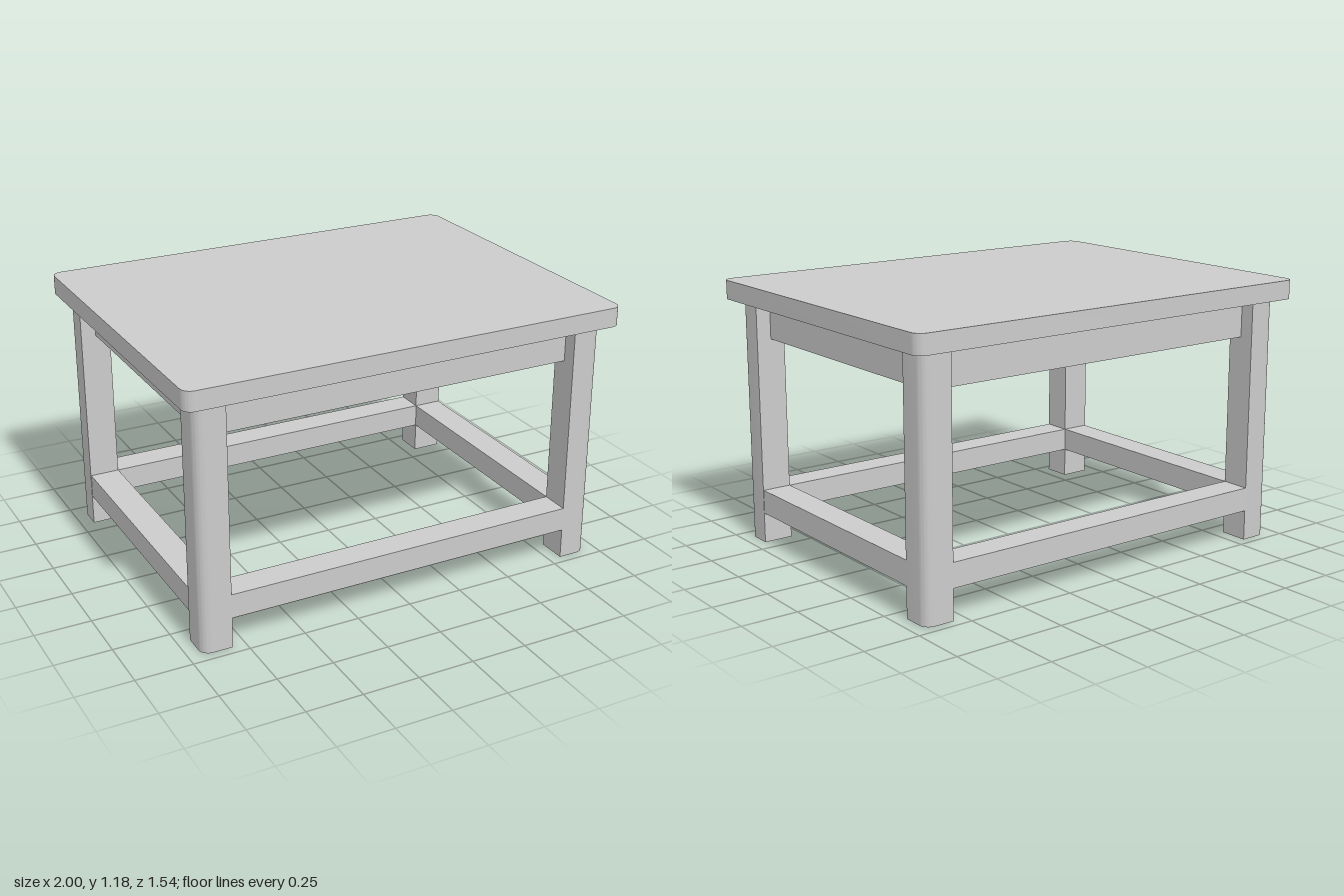
import * as THREE from 'three';
import { toCreasedNormals } from 'three/addons/utils/BufferGeometryUtils.js';

const material = new THREE.MeshStandardMaterial({ color: 0xcccccc });

const TOP = { x: 1, z: 0.768, y0: 1.1, y1: 1.185 };
const LEG = { x0: 0.808, x1: 0.942, z0: 0.577, z1: 0.709 };
const RADIUS = 0.045;

// Rectangle in plan with chosen corners rounded: [++, -+, --, +-]
function roundedPlan(x0, x1, y0, y1, radii) {
  const [a, b, c, d] = radii;
  const shape = new THREE.Shape();
  const corner = (cx, cy, r, start) => {
    if (r > 0) shape.absarc(cx, cy, r, start, start + Math.PI / 2, false);
    else shape.lineTo(cx, cy);
  };
  shape.moveTo(x1, y1 - a);
  corner(x1 - a, y1 - a, a, 0);
  corner(x0 + b, y1 - b, b, Math.PI / 2);
  corner(x0 + c, y0 + c, c, Math.PI);
  corner(x1 - d, y0 + d, d, Math.PI * 1.5);
  shape.closePath();
  return shape;
}

// Stands a plan outline upright between two heights
function upright(name, shape, y0, y1) {
  let geometry = new THREE.ExtrudeGeometry(shape, { depth: y1 - y0, bevelEnabled: false, curveSegments: 8 });
  geometry.rotateX(-Math.PI / 2).translate(0, y0, 0);
  geometry = toCreasedNormals(geometry, 0.5);
  const mesh = new THREE.Mesh(geometry, material);
  mesh.name = name;
  return mesh;
}

function box(name, x0, x1, y0, y1, z0, z1) {
  const mesh = new THREE.Mesh(new THREE.BoxGeometry(x1 - x0, y1 - y0, z1 - z0), material);
  mesh.position.set((x0 + x1) / 2, (y0 + y1) / 2, (z0 + z1) / 2);
  mesh.name = name;
  return mesh;
}

// Four rails between the legs, starting at the inner leg faces
function railFrame(name, y0, y1, thickness) {
  const frame = new THREE.Group();
  frame.name = name;
  const { x0, z0 } = LEG;
  frame.add(
    box('frontRail', -x0, x0, y0, y1, z0, z0 + thickness),
    box('backRail', -x0, x0, y0, y1, -z0 - thickness, -z0),
    box('leftRail', x0, x0 + thickness, y0, y1, -z0, z0),
    box('rightRail', -x0 - thickness, -x0, y0, y1, -z0, z0),
  );
  return frame;
}

export function createModel() {
  const table = new THREE.Group();
  table.name = 'table';

  // Table top with rounded corners
  const plan = roundedPlan(-TOP.x, TOP.x, -TOP.z, TOP.z, [RADIUS, RADIUS, RADIUS, RADIUS]);
  table.add(upright('tableTop', plan, TOP.y0, TOP.y1));

  // Legs, rounded on the outer corner only
  for (const sx of [1, -1]) {
    for (const sz of [1, -1]) {
      const sy = -sz; // plan y becomes -z once upright
      const xs = [sx * LEG.x0, sx * LEG.x1].sort((a, b) => a - b);
      const ys = [sy * LEG.z0, sy * LEG.z1].sort((a, b) => a - b);
      const outer = sy > 0 ? (sx > 0 ? 0 : 1) : (sx > 0 ? 3 : 2);
      const radii = [0, 0, 0, 0];
      radii[outer] = RADIUS;
      const name = (sz > 0 ? 'front' : 'back') + (sx > 0 ? 'Left' : 'Right') + 'Leg';
      table.add(upright(name, roundedPlan(...xs, ...ys, radii), 0, TOP.y0));
    }
  }

  // Apron set back from the leg faces, stretchers flush with them
  table.add(railFrame('apron', 0.93, TOP.y0, 0.067));
  table.add(railFrame('stretchers', 0.137, 0.245, LEG.z1 - LEG.z0));

  return table;
}
